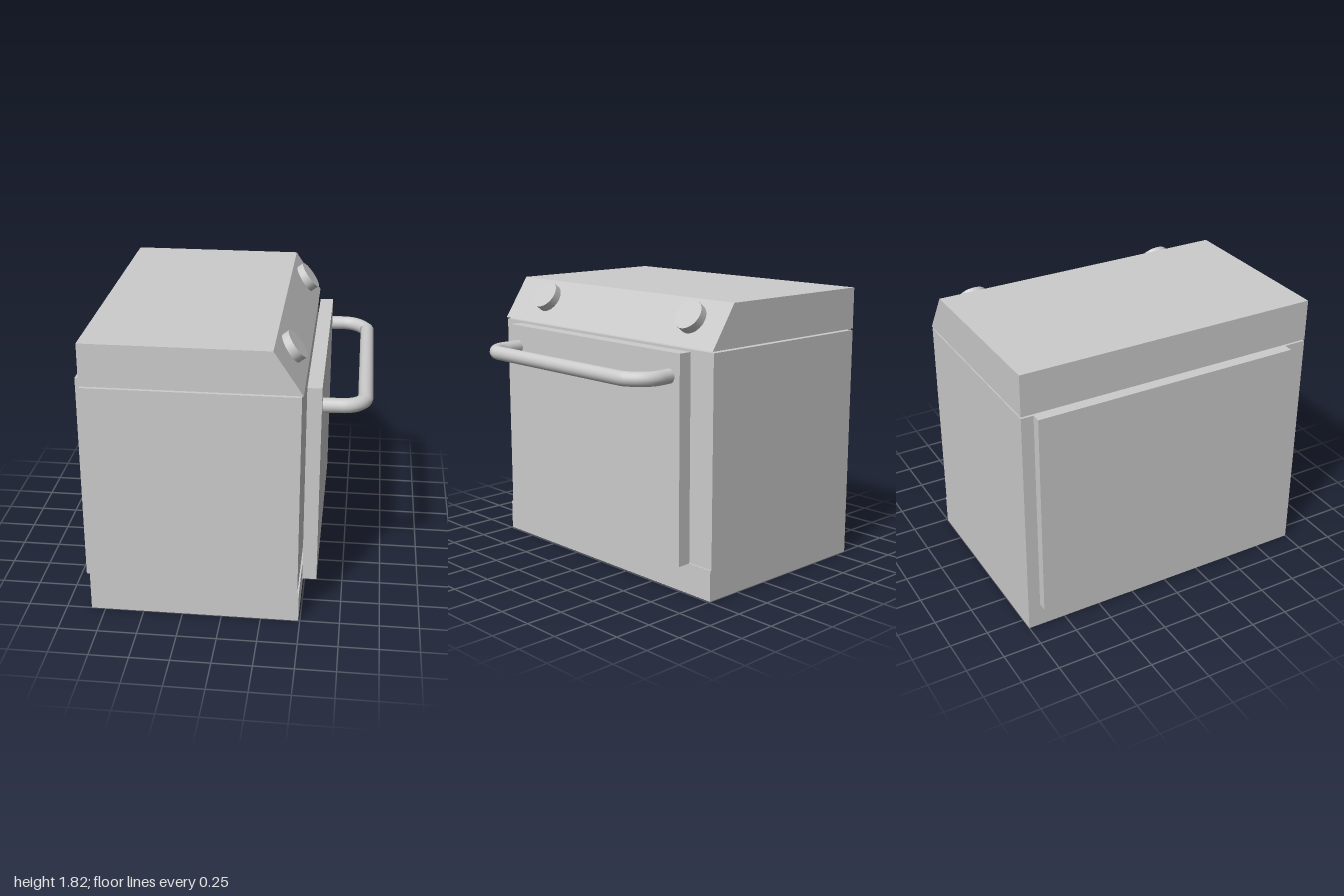
import * as THREE from 'three';

const material = new THREE.MeshStandardMaterial({ color: 0xcccccc });

function add(group, name, geometry) {
  const mesh = new THREE.Mesh(geometry, material);
  mesh.name = name;
  group.add(mesh);
  return mesh;
}

// Box given by its limits on each axis
function addBox(group, name, [x0, x1], [y0, y1], [z0, z1]) {
  const box = add(group, name, new THREE.BoxGeometry(x1 - x0, y1 - y0, z1 - z0));
  box.position.set((x0 + x1) / 2, (y0 + y1) / 2, (z0 + z1) / 2);
}

export function createModel() {
  const oven = new THREE.Group();
  oven.name = 'oven';

  // Cabinet; the door faces +x
  addBox(oven, 'base', [-0.84, 0.49], [0, 0.2], [-1, 1]);
  addBox(oven, 'body', [-0.84, 0.48], [0.2, 1.535], [-1, 1]);
  addBox(oven, 'backPanel', [-0.9, -0.84], [0.16, 1.535], [-0.92, 0.85]);
  addBox(oven, 'door', [0.5, 0.59], [0.205, 1.525], [-0.83, 0.825]);

  // Top with sloping control panel
  const profile = new THREE.Shape([
    [-0.84, 1.545], [0.49, 1.545], [0.31, 1.815], [-0.84, 1.815],
  ].map(([x, y]) => new THREE.Vector2(x, y)));
  const top = new THREE.ExtrudeGeometry(profile, { depth: 2, bevelEnabled: false });
  add(oven, 'controlTop', top.translate(0, 0, -1));

  // Knobs standing out from the slope
  const axis = new THREE.Vector3(0.8, 0.6, 0).normalize();
  for (const z of [-0.735, 0.64]) {
    const knob = add(oven, 'knob', new THREE.CylinderGeometry(0.098, 0.098, 0.06, 32));
    knob.quaternion.setFromUnitVectors(new THREE.Vector3(0, 1, 0), axis);
    knob.position.set(0.43, 1.733, z).addScaledVector(axis, -0.03);
  }

  // Door handle: straight bars joined by rounded bends
  const handle = new THREE.Group();
  handle.name = 'handle';
  oven.add(handle);
  const p = (x, z) => new THREE.Vector3(x, 1.38, z);
  const path = new THREE.CurvePath();
  path.add(new THREE.LineCurve3(p(0.59, -0.74), p(0.67, -0.745)));
  path.add(new THREE.QuadraticBezierCurve3(p(0.67, -0.745), p(0.78, -0.75), p(0.842, -0.61)));
  path.add(new THREE.LineCurve3(p(0.842, -0.61), p(0.847, 0.62)));
  path.add(new THREE.QuadraticBezierCurve3(p(0.847, 0.62), p(0.81, 0.73), p(0.7, 0.73)));
  path.add(new THREE.LineCurve3(p(0.7, 0.73), p(0.59, 0.735)));
  add(handle, 'handleBar', new THREE.TubeGeometry(path, 100, 0.046, 16, false));
  for (const z of [-0.74, 0.735]) {
    const cap = add(handle, 'handleEnd', new THREE.CircleGeometry(0.046, 16));
    cap.rotation.y = -Math.PI / 2;
    cap.position.set(0.591, 1.38, z);
  }

  return oven;
}
